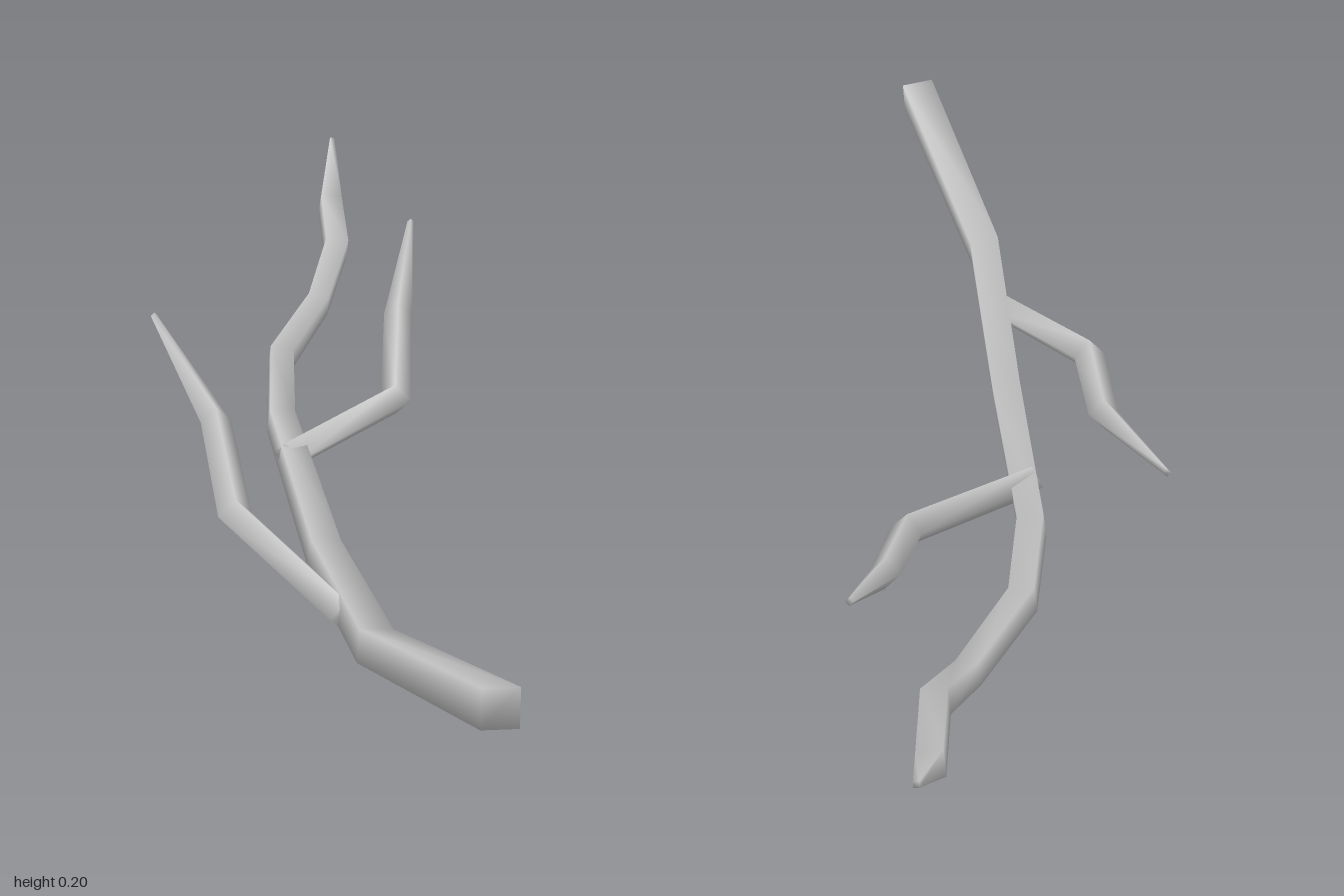
import * as THREE from 'three';

const UP = new THREE.Vector3(0, 1, 0);

// Four-sided tapering limb through stations [x, y, z, radius]; spin turns the section.
function limb(name, stations, spin) {
  const sides = 4;
  const pts = stations.map(([x, y, z]) => new THREE.Vector3(x, y, z));
  const last = pts.length - 1;
  const pos = [], idx = [];
  pts.forEach((p, i) => {
    const tangent = new THREE.Vector3();
    if (i > 0) tangent.add(p.clone().sub(pts[i - 1]).normalize());
    if (i < last) tangent.add(pts[i + 1].clone().sub(p).normalize());
    tangent.normalize();
    const side = tangent.clone().cross(UP).normalize();
    const up = side.clone().cross(tangent);
    for (let k = 0; k < sides; k++) {
      const a = spin + (k / sides) * Math.PI * 2;
      const v = p.clone()
        .addScaledVector(side, Math.cos(a) * stations[i][3])
        .addScaledVector(up, Math.sin(a) * stations[i][3]);
      pos.push(v.x, v.y, v.z);
    }
  });
  for (let i = 0; i < last; i++) {
    for (let k = 0; k < sides; k++) {
      const a = i * sides + k, b = i * sides + (k + 1) % sides;
      idx.push(a, b + sides, b, a, a + sides, b + sides);
    }
  }
  // End caps share the ring vertices, so shading rolls softly over the ends
  const e = last * sides;
  idx.push(0, 1, 2, 0, 2, 3, e, e + 2, e + 1, e, e + 3, e + 2);

  const geo = new THREE.BufferGeometry();
  geo.setAttribute('position', new THREE.Float32BufferAttribute(pos, 3));
  geo.setIndex(idx);
  geo.computeVertexNormals();
  const mesh = new THREE.Mesh(geo, new THREE.MeshStandardMaterial({ color: 0xcccccc }));
  mesh.name = name;
  return mesh;
}

export function createModel() {
  const group = new THREE.Group();
  group.name = 'fallenBranch';

  // Main stem, thick sawn end at the front, pointed tip at the back
  group.add(limb('mainStem', [
    [0.076, 0.176, 0.993, 0.032],
    [-0.01, 0.075, 0.62, 0.029],
    [-0.025, 0.021, 0.24, 0.027],
    [-0.036, 0.032, -0.17, 0.024],
    [-0.014, 0.04, -0.38, 0.023],
    [0.06, 0.046, -0.57, 0.021],
    [0.102, 0.083, -0.7, 0.023],
    [0.112, 0.095, -0.86, 0.022],
    [0.131, 0.152, -0.997, 0.005],
  ], Math.PI / 4 - 0.12));

  // Twig on the left
  group.add(limb('leftTwig', [
    [-0.042, 0.033, -0.045, 0.021],
    [0.124, 0.045, -0.2, 0.022],
    [0.154, 0.091, -0.4, 0.02],
    [0.198, 0.158, -0.595, 0.005],
  ], 0));

  // Twig on the right
  group.add(limb('rightTwig', [
    [-0.028, 0.048, 0.48, 0.021],
    [-0.137, 0.08, 0.24, 0.022],
    [-0.139, 0.107, 0, 0.02],
    [-0.198, 0.154, -0.27, 0.005],
  ], 0));

  return group;
}
